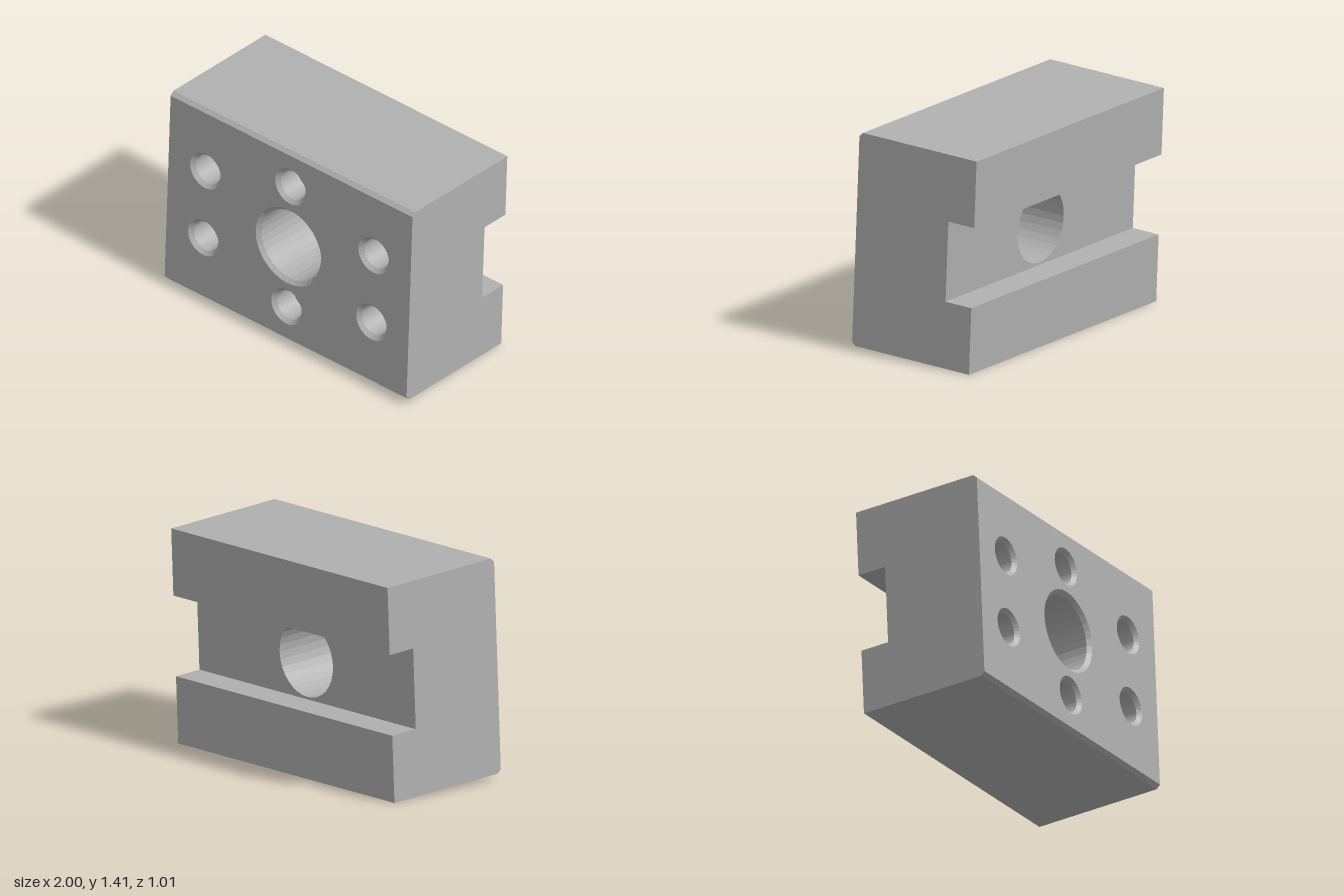
import * as THREE from 'three';

const W = 1.97, H = 1.375, D = 0.885;      // block size
const X = W / 2, Y = H / 2, F = D / 2;
const C = 0.025;                            // chamfer on front edges and hole rims
const SLOT_Y = 0.258, SLOT_Z = -F + 0.195;  // half height and floor of the back slot
const SIDES = 32;

// x, y, bore radius, depth, open ended
const HOLES = [[0, 0, 0.243, F - SLOT_Z, true]];
for (const s of [-1, 1]) {
  HOLES.push([0, s * 0.44, 0.1, 0.18, false]);
  for (const t of [-1, 1]) HOLES.push([t * 0.685, s * 0.245, 0.1, 0.45, false]);
}

// Side outline as [z, y], counter-clockwise from the lower front edge
const OUTLINE = [
  [F, -Y + C], [F, Y - C], [F - C, Y], [-F, Y], [-F, SLOT_Y], [SLOT_Z, SLOT_Y],
  [SLOT_Z, -SLOT_Y], [-F, -SLOT_Y], [-F, -Y], [F - C, -Y],
];

// Flat rectangle with round openings
function panel(halfWidth, halfHeight, openings) {
  const shape = new THREE.Shape([
    new THREE.Vector2(-halfWidth, -halfHeight), new THREE.Vector2(halfWidth, -halfHeight),
    new THREE.Vector2(halfWidth, halfHeight), new THREE.Vector2(-halfWidth, halfHeight),
  ]);
  for (const [x, y, r] of openings) {
    shape.holes.push(new THREE.Path().absarc(x, y, r, 0, Math.PI * 2, false));
  }
  return new THREE.ShapeGeometry(shape, SIDES / 2);
}

// Walls swept across the width, leaving out the two drilled faces
function walls() {
  const pos = [];
  OUTLINE.forEach(([z0, y0], i) => {
    if (i === 0 || i === 5) return;
    const [z1, y1] = OUTLINE[(i + 1) % OUTLINE.length];
    const a = [-X, y0, z0], b = [X, y0, z0], c = [X, y1, z1], d = [-X, y1, z1];
    pos.push(...a, ...b, ...c, ...a, ...c, ...d);
  });
  const g = new THREE.BufferGeometry();
  g.setAttribute('position', new THREE.Float32BufferAttribute(pos, 3));
  g.computeVertexNormals();
  return g;
}

// Chamfered bore seen from inside, faceted
function bore(r, depth, open) {
  const pts = [[r + C, F], [r, F - C], [r, F - depth]];
  if (!open) pts.push([0, F - depth]);
  const g = new THREE.LatheGeometry(pts.map(p => new THREE.Vector2(...p)), SIDES)
    .rotateX(Math.PI / 2).toNonIndexed();
  g.computeVertexNormals();
  return g;
}

export function createModel() {
  const model = new THREE.Group();
  model.name = 'mountingBlock';
  const block = new THREE.Group();
  block.name = 'block';
  model.add(block);

  const metal = new THREE.MeshStandardMaterial({ color: 0xb0b0b0 });
  metal.name = 'grey metal';
  const add = (name, geometry) => {
    const mesh = new THREE.Mesh(geometry, metal);
    mesh.name = name;
    block.add(mesh);
    return mesh;
  };

  add('outerWalls', walls());

  // End faces
  for (const s of [-1, 1]) {
    const shape = new THREE.Shape(OUTLINE.map(([z, y]) => new THREE.Vector2(-s * z, y)));
    add(s > 0 ? 'leftEnd' : 'rightEnd',
      new THREE.ShapeGeometry(shape).rotateY(s * Math.PI / 2).translate(s * X, 0, 0));
  }

  // Drilled front face and slot floor
  add('frontFace', panel(X, Y - C, HOLES.map(([x, y, r]) => [x, y, r + C])).translate(0, 0, F));
  add('slotFloor', panel(X, SLOT_Y, [HOLES[0]]).rotateY(Math.PI).translate(0, 0, SLOT_Z));

  // Centre bore and blind holes
  for (const [x, y, r, depth, open] of HOLES) {
    add(open ? 'centreBore' : 'boltHole', bore(r, depth, open)).position.set(x, y, 0);
  }

  // Slight tilt, then stand on the ground
  block.rotation.set(-0.042, 0.0356, 0, 'YXZ');
  const box = new THREE.Box3().setFromObject(model, true);
  const mid = box.getCenter(new THREE.Vector3());
  block.position.set(-mid.x, -box.min.y, -mid.z);
  return model;
}
